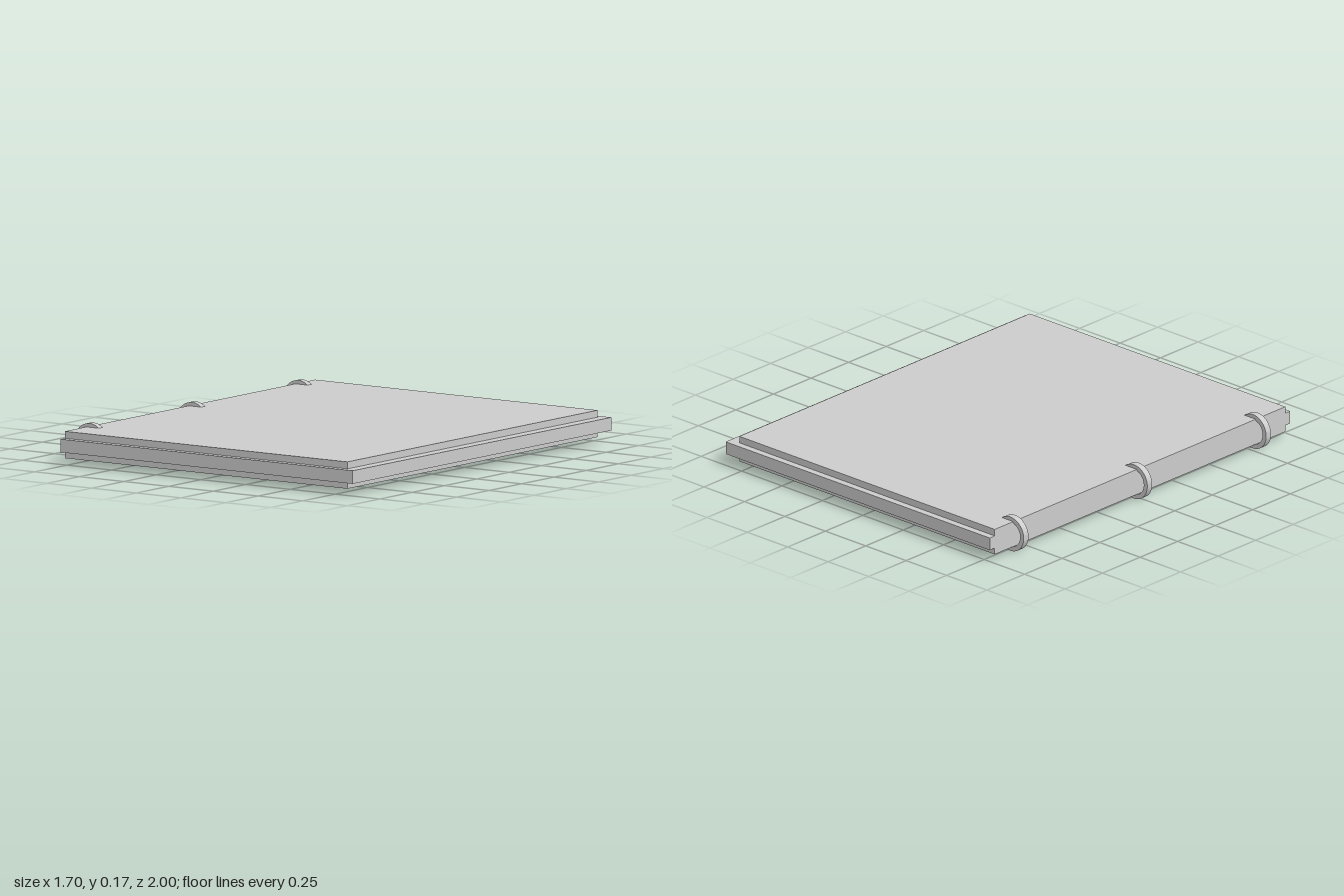
import * as THREE from 'three';
import { toCreasedNormals } from 'three/addons/utils/BufferGeometryUtils.js';

const material = new THREE.MeshStandardMaterial({ color: 0xcccccc });

// Box given by its lower and upper corners
function slab(name, [x0, y0, z0], [x1, y1, z1]) {
  const mesh = new THREE.Mesh(new THREE.BoxGeometry(x1 - x0, y1 - y0, z1 - z0), material);
  mesh.position.set((x0 + x1) / 2, (y0 + y1) / 2, (z0 + z1) / 2);
  mesh.name = name;
  return mesh;
}

// Flat band bent into a circle, centred on its own origin
function ringGeometry(outer, inner, width) {
  const shape = new THREE.Shape().absarc(0, 0, outer, 0, Math.PI * 2, false);
  shape.holes.push(new THREE.Path().absarc(0, 0, inner, 0, Math.PI * 2, true));
  const geometry = new THREE.ExtrudeGeometry(shape, { depth: width, bevelEnabled: false, curveSegments: 32 });
  geometry.translate(0, 0, -width / 2);
  return toCreasedNormals(geometry, 0.6);
}

export function createModel() {
  const model = new THREE.Group();
  model.name = 'ringBinder';

  // Wide core with a narrower block on either side, flush at the spine edge
  model.add(
    slab('lowerBlock', [-0.785, 0.025, -0.967], [0.795, 0.056, 0.967]),
    slab('core', [-0.785, 0.056, -1], [0.848, 0.116, 1]),
    slab('upperBlock', [-0.785, 0.116, -0.967], [0.795, 0.148, 0.967])
  );

  // Three binding rings along the spine
  const geometry = ringGeometry(0.083, 0.061, 0.032);
  for (const z of [-0.828, -0.005, 0.786]) {
    const ring = new THREE.Mesh(geometry, material);
    ring.name = 'bindingRing';
    ring.position.set(-0.767, 0.083, z);
    model.add(ring);
  }
  return model;
}
